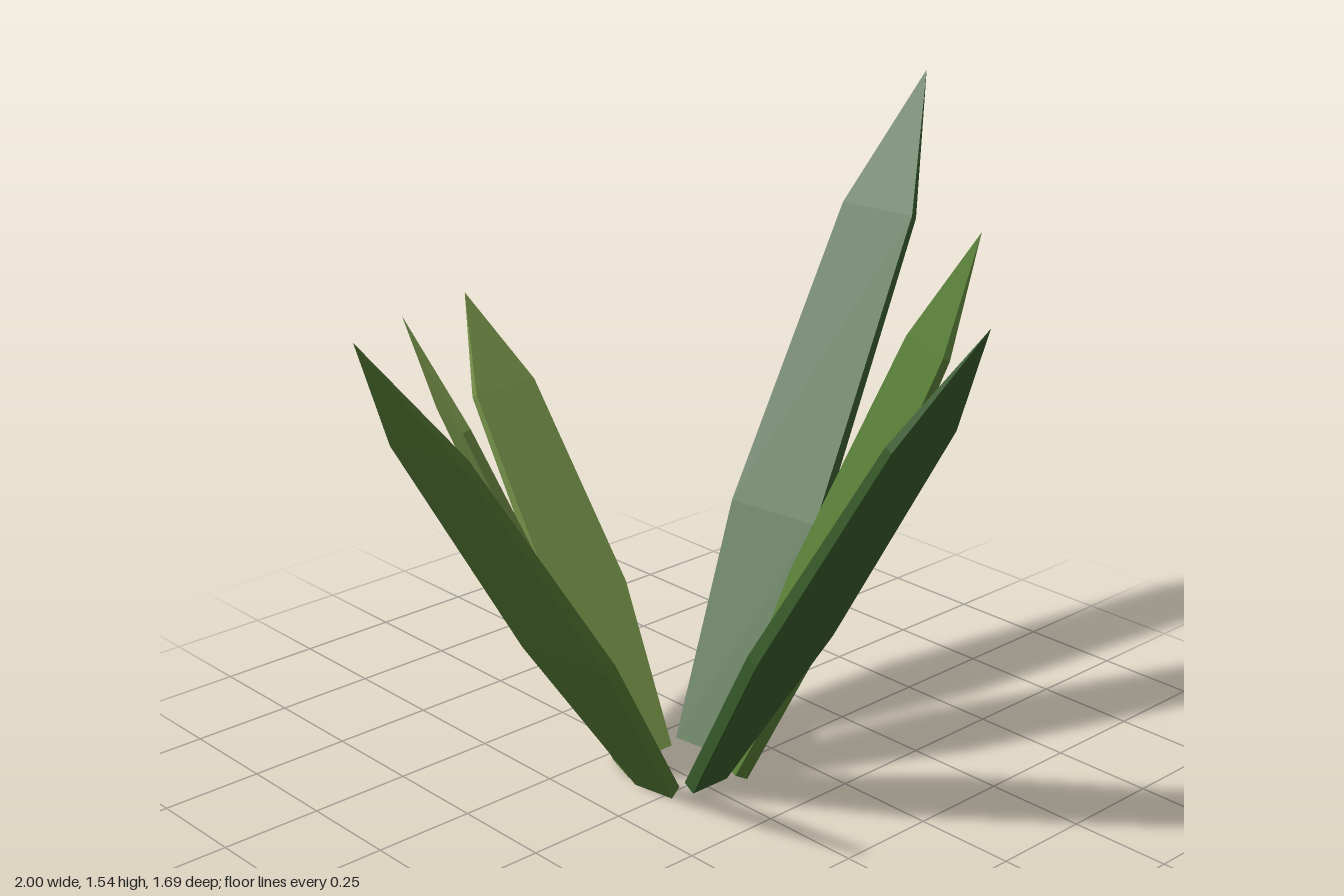
import * as THREE from 'three';

// Blade profile: fraction of length, width (of the widest part), thickness
const STATIONS = [
  [0, 0.45, 0.034],
  [0.34, 1, 0.032],
  [0.79, 0.81, 0.02],
];

// Flat blade along +Y: rectangular cross-sections closing to a pointed tip
function bladeGeometry(length, width) {
  const pos = [];
  const index = [0, 2, 1, 0, 3, 2];
  const corners = [[1, 1], [1, -1], [-1, -1], [-1, 1]];
  for (const [t, w, thick] of STATIONS) {
    for (const [sx, sz] of corners) pos.push(sx * w * width / 2, t * length, sz * thick / 2);
  }
  pos.push(0, length, 0);
  const tip = STATIONS.length * 4;
  for (let r = 0; r < STATIONS.length; r++) {
    for (let i = 0; i < 4; i++) {
      const a = r * 4 + i, b = r * 4 + (i + 1) % 4;
      if (r === STATIONS.length - 1) index.push(a, b, tip);
      else index.push(a, b, b + 4, a, b + 4, a + 4);
    }
  }
  const geo = new THREE.BufferGeometry();
  geo.setAttribute('position', new THREE.Float32BufferAttribute(pos, 3));
  geo.setIndex(index);
  geo.computeVertexNormals();
  return geo;
}

// Blade standing from base to tip, its width kept horizontal
function makeLeaf(name, base, tip, width, material) {
  const from = new THREE.Vector3(...base);
  const dir = new THREE.Vector3(...tip).sub(from);
  const length = dir.length();
  dir.normalize();
  const side = new THREE.Vector3(0, 1, 0).cross(dir).normalize();
  const normal = side.clone().cross(dir);
  const leaf = new THREE.Mesh(bladeGeometry(length, width), material);
  leaf.name = name;
  leaf.quaternion.setFromRotationMatrix(new THREE.Matrix4().makeBasis(side, dir, normal));
  leaf.position.copy(from);
  return leaf;
}

export function createModel() {
  const plant = new THREE.Group();
  plant.name = 'plant';
  const paint = (color) => new THREE.MeshStandardMaterial({ color, flatShading: true });
  const dark = paint(0x3a5f2d), mid = paint(0x557a35), olive = paint(0x748f48);

  // Name, base centre, tip, greatest width, colour
  const leaves = [
    ['frontLeaf', [0.005, 0.01, 0.025], [0.005, 1.33, 0.84], 0.245, dark],
    ['backLeaf', [0.005, 0.01, -0.165], [0.005, 1.03, -0.85], 0.225, olive],
    ['leftTallLeaf', [0.115, 0.01, -0.12], [0.995, 1.54, -0.23], 0.26, dark],
    ['rightTallLeaf', [-0.097, 0.01, -0.035], [-1, 1.35, 0.11], 0.248, mid],
    ['frontLeftLeaf', [0.097, 0.01, 0.022], [0.67, 1.28, 0.245], 0.234, mid],
    ['backRightLeaf', [-0.08, 0.01, -0.163], [-0.565, 1.21, -0.33], 0.22, olive],
  ];
  for (const leaf of leaves) plant.add(makeLeaf(...leaf));
  return plant;
}
